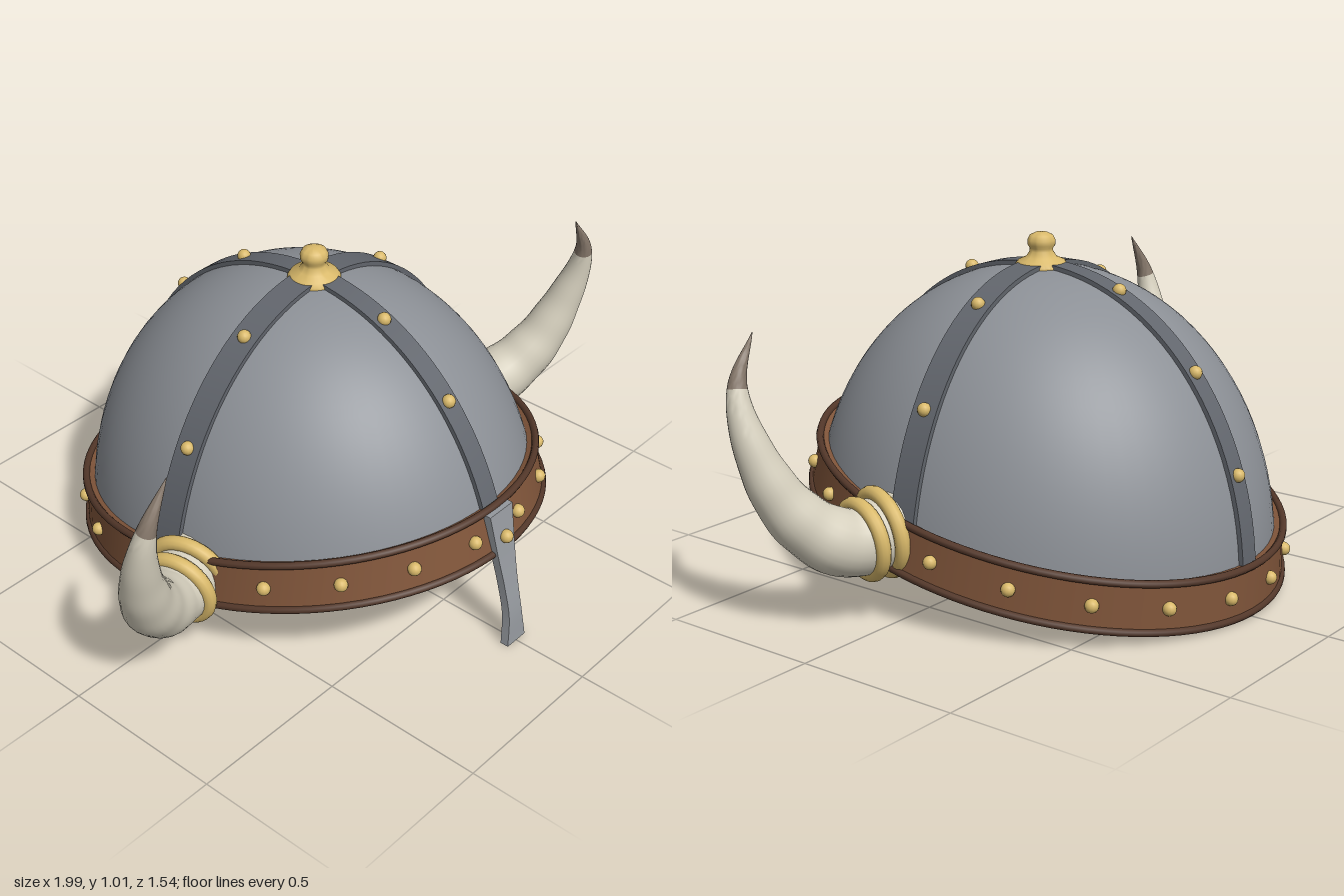
import * as THREE from 'three';
import { toCreasedNormals } from 'three/addons/utils/BufferGeometryUtils.js';

const V = (x, y, z) => new THREE.Vector3(x, y, z);
const mat = (color) => new THREE.MeshStandardMaterial({ color, side: THREE.DoubleSide });
const steel = mat(0x8c9096), strapSteel = mat(0x62666d), plateSteel = mat(0x94989d);
const leather = mat(0x80553a), darkLeather = mat(0x54382a), liningMat = mat(0x553f31);
const gold = mat(0xd9b96a), ivory = mat(0xd6d0be), tipMat = mat(0x85776a);

// Dome: a slightly squared ellipsoid, narrower across x, centred a little behind z = 0
const Y0 = 0.08, H = 0.835, R = 0.72, P = 2.08, CZ = -0.015, TOP = Y0 + H;

function domePoint(th, y, off = 0) {
  const t = THREE.MathUtils.clamp((y - Y0) / H, 0, 1);
  const r = R * Math.pow(1 - Math.pow(t, P), 1 / P), side = off * Math.sqrt(1 - t * t);
  const c = Math.cos(th);
  return V((0.88 * r + side) * Math.sin(th), y + off * t, CZ + ((c > 0 ? 0.985 : 1) * r + side) * c);
}

// Height on the dome of the tilted brim plane, raised by h
function brimY(th, h) {
  let y = 0.15 + h;
  for (let i = 0; i < 12; i++) y = 0.152 + 0.2 * domePoint(th, y).z + h;
  return y;
}

// Skin a list of closed rings; loop joins the last ring to the first, cap closes the ends
function loft(rings, { loop = false, cap = false, crease = 0.7 } = {}) {
  const n = rings[0].length, m = rings.length, index = [];
  for (let i = 0; i < (loop ? m : m - 1); i++) {
    for (let j = 0; j < n; j++) {
      const k = (j + 1) % n, p = i * n, q = ((i + 1) % m) * n;
      index.push(p + j, p + k, q + k, p + j, q + k, q + j);
    }
  }
  if (cap) {
    const q = (m - 1) * n;
    for (let j = 1; j < n - 1; j++) index.push(0, j + 1, j, q, q + j, q + j + 1);
  }
  const g = new THREE.BufferGeometry().setFromPoints(rings.flat());
  g.setIndex(index);
  return toCreasedNormals(g, crease);
}

const SEG = 72;
const around = (f) => Array.from({ length: SEG }, (_, i) => f((i / SEG) * Math.PI * 2));

export function createModel() {
  const root = new THREE.Group();
  const add = (name, geometry, material, parent = root) => {
    const mesh = new THREE.Mesh(geometry, material);
    mesh.name = name;
    parent.add(mesh);
    return mesh;
  };

  // Dome shell, lining and bottom rim
  const shell = (off) => Array.from({ length: 29 }, (_, i) => around((th) => {
    const y0 = brimY(th, 0.008);
    return domePoint(th, y0 + (TOP - y0) * Math.sin((i / 28) * Math.PI / 2), off);
  }));
  const outer = shell(0), inner = shell(-0.025);
  add('dome', loft(outer), steel);
  add('lining', loft(inner.slice().reverse()), liningMat);
  add('domeRim', loft([inner[0], outer[0]]), strapSteel);

  // Leather brim band with a rolled edge at top and bottom
  const section = [[0.004, 0.022], [0.152, 0.026], [0.152, -0.003], [0.004, -0.003]];
  add('brimBand', loft(section.map(([h, off]) => around((th) => domePoint(th, brimY(th, h), off))),
    { loop: true }), leather);
  for (const [name, h, off] of [['bandBottomEdge', 0.012, 0.022], ['bandTopEdge', 0.148, 0.026]]) {
    const curve = new THREE.CatmullRomCurve3(around((th) => domePoint(th, brimY(th, h), off)), true);
    add(name, new THREE.TubeGeometry(curve, 96, 0.011, 8, true), darkLeather);
  }

  // Four straps running from the band to the crown, with their rivets
  const rivets = new THREE.Group();
  rivets.name = 'rivets';
  root.add(rivets);
  const rivetGeo = new THREE.SphereGeometry(0.02, 14, 10);
  const rivet = (p) => add('rivet', rivetGeo, gold, rivets).position.copy(p);
  const straps = [
    [0, 0.033, [0.865, 0.70]],
    [Math.PI, 0.033, [0.86, 0.665, 0.4]],
    [Math.PI / 2, 0.042, [0.835, 0.585]],
    [-Math.PI / 2, 0.042, [0.835, 0.585]],
  ];
  for (const [th, w, heights] of straps) {
    const across = V(Math.cos(th), 0, -Math.sin(th)), y0 = brimY(th, 0.08), rings = [];
    for (let i = 0; i <= 28; i++) {
      const y = y0 + (TOP - y0) * Math.sin((i / 28) * Math.PI / 2);
      const o = domePoint(th, y, 0.012), n = domePoint(th, y, -0.01);
      rings.push([[o, -w], [o, w], [n, w], [n, -w]].map(([p, s]) => p.clone().addScaledVector(across, s)));
    }
    add('strap', loft(rings), strapSteel);
    heights.forEach((y) => rivet(domePoint(th, y, 0.014)));
  }

  // Rivets around the band, leaving room for the horns
  for (let i = 0; i < 20; i++) {
    if (i === 4 || i === 15) continue;
    const th = THREE.MathUtils.degToRad(9 + 18 * i);
    rivet(domePoint(th, brimY(th, 0.08), 0.026));
  }

  // Nose guard: a curved plate, waisted in the middle
  const nose = new THREE.CatmullRomCurve3([
    V(0.04, 0.004, 0.755), V(0.029, 0.1, 0.745), V(0.03, 0.2, 0.723), V(0.038, 0.3, 0.7), V(0.05, 0.435, 0.672),
  ]);
  add('noseGuard', loft(nose.getPoints(24).map(({ x, y, z }) =>
    [V(-x, y, z + 0.013), V(x, y, z + 0.013), V(x, y, z - 0.013), V(-x, y, z - 0.013)]),
  { cap: true }), plateSteel);
  rivet(V(0, 0.355, 0.708));

  // Crown finial
  const profile = [[0, 0.89], [0.075, 0.89], [0.077, 0.915], [0.068, 0.928], [0.045, 0.938], [0.034, 0.955],
    [0.034, 0.964], [0.04, 0.973], [0.041, 0.987], [0.034, 1.001], [0.018, 1.009], [0, 1.011]];
  add('finial', toCreasedNormals(new THREE.LatheGeometry(
    profile.map(([r, y]) => new THREE.Vector2(r, y)), 32), 0.7), gold).position.z = CZ;

  // Horns: tapering, faintly ridged, with a dark tip and two collar rings
  const path = [[0.52, 0.27, 0.03], [0.62, 0.25, 0.065], [0.74, 0.245, 0.1], [0.86, 0.345, 0.165],
    [0.938, 0.53, 0.225], [0.947, 0.7, 0.268], [0.877, 0.835, 0.277]];
  for (const s of [1, -1]) {
    const horn = new THREE.Group();
    horn.name = s > 0 ? 'leftHorn' : 'rightHorn';
    root.add(horn);
    const curve = new THREE.CatmullRomCurve3(path.map(([x, y, z]) => V(s * x, y, z)));
    const N = 60, frames = curve.computeFrenetFrames(N), rings = [];
    for (let i = 0; i <= N; i++) {
      const u = i / N, c = curve.getPointAt(u);
      const r = 0.106 * (1 - Math.pow(u, 1.6)) * (1 + 0.025 * Math.sin(u * 48) * (1 - u)) + 0.001;
      rings.push(Array.from({ length: 24 }, (_, j) => {
        const a = (j / 24) * Math.PI * 2;
        return c.clone().addScaledVector(frames.normals[i], r * Math.cos(a))
          .addScaledVector(frames.binormals[i], r * Math.sin(a));
      }));
    }
    add('hornBody', loft(rings.slice(0, 51), { cap: true }), ivory, horn);
    add('hornTip', loft(rings.slice(50), { cap: true }), tipMat, horn);
    for (const [u, radius] of [[0.115, 0.112], [0.18, 0.101]]) {
      const ring = add('hornCollar', new THREE.TorusGeometry(radius, 0.022, 12, 40), gold, horn);
      ring.position.copy(curve.getPointAt(u));
      ring.quaternion.setFromUnitVectors(V(0, 0, 1), curve.getTangentAt(u));
    }
  }
  return root;
}
